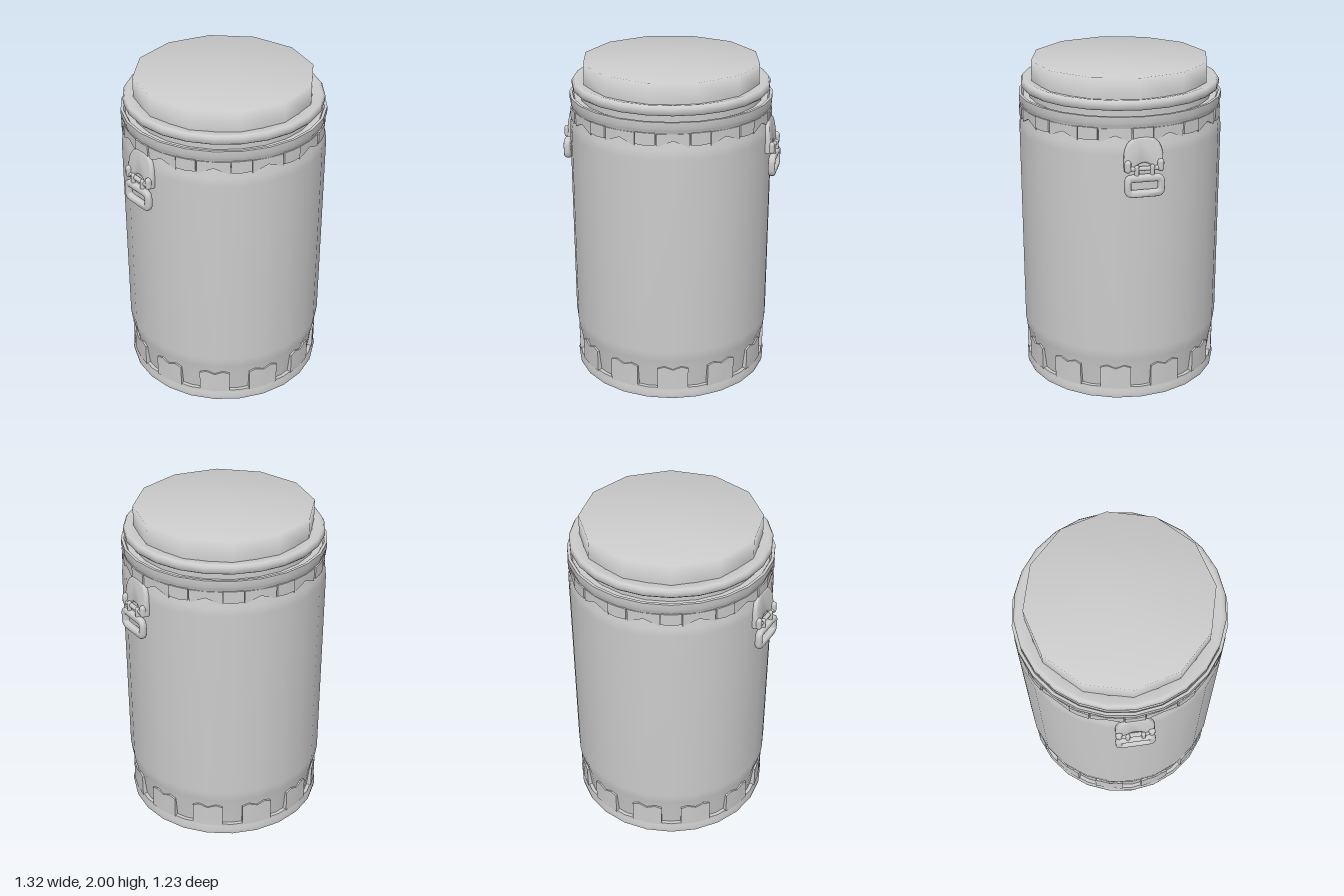
import * as THREE from 'three';
import { mergeGeometries, toCreasedNormals } from 'three/addons/utils/BufferGeometryUtils.js';

const grey = new THREE.MeshStandardMaterial({ color: 0xcccccc, side: THREE.DoubleSide });

function addMesh(parent, name, geometry, x = 0, y = 0, z = 0) {
  const mesh = new THREE.Mesh(geometry, grey);
  mesh.name = name;
  mesh.position.set(x, y, z);
  parent.add(mesh);
  return mesh;
}

// Profile points run upwards as [radius, height]
function lathe(profile, sides, crease) {
  const g = new THREE.LatheGeometry(profile.map(p => new THREE.Vector2(p[0], p[1])), sides);
  return crease ? toCreasedNormals(g, crease) : g;
}

// Ring of 12 thin plates bent round the drum; outlines are [degrees, height]
function plateRing(outlines, outer, inner, offset) {
  const plates = [];
  for (let i = 0; i < 12; i++) {
    for (const outline of outlines) {
      const shape = new THREE.Shape(outline.map(p => new THREE.Vector2(p[0], p[1])));
      const g = new THREE.ExtrudeGeometry(shape, { depth: 1, bevelEnabled: false });
      const pos = g.attributes.position;
      for (let k = 0; k < pos.count; k++) {
        const a = THREE.MathUtils.degToRad(pos.getX(k) + i * 30 + offset);
        const r = inner + (outer - inner) * pos.getZ(k);
        pos.setXYZ(k, Math.sin(a) * r, pos.getY(k), Math.cos(a) * r);
      }
      plates.push(g);
    }
  }
  return toCreasedNormals(mergeGeometries(plates), 0.6);
}

function roundedRect(path, w, h, r) {
  const x = w / 2, y = h / 2;
  path.moveTo(-x + r, -y);
  path.lineTo(x - r, -y);
  path.quadraticCurveTo(x, -y, x, -y + r);
  path.lineTo(x, y - r);
  path.quadraticCurveTo(x, y, x - r, y);
  path.lineTo(-x + r, y);
  path.quadraticCurveTo(-x, y, -x, y - r);
  path.lineTo(-x, -y + r);
  path.quadraticCurveTo(-x, -y, -x + r, -y);
  return path;
}

// Handle drawn facing +z, then turned onto the side of the drum
function createHandle(name, side) {
  const handle = new THREE.Group();
  handle.name = name;

  // Shield plate with an arched lower edge, leaning in at the top
  const s = new THREE.Shape();
  s.moveTo(-0.1, 0);
  s.lineTo(-0.1, 0.08);
  s.bezierCurveTo(-0.09, 0.15, -0.06, 0.17, 0, 0.17);
  s.bezierCurveTo(0.06, 0.17, 0.09, 0.15, 0.1, 0.08);
  s.lineTo(0.1, 0);
  s.lineTo(0.065, 0);
  s.quadraticCurveTo(0.05, 0.04, 0, 0.045);
  s.quadraticCurveTo(-0.05, 0.04, -0.065, 0);
  s.closePath();
  const shield = new THREE.ExtrudeGeometry(s, {
    depth: 0.02, bevelThickness: 0.012, bevelSize: 0.012, bevelSegments: 2, curveSegments: 6,
  });
  addMesh(handle, 'handlePlate', toCreasedNormals(shield, 0.8), 0, 1.5, 0.605).rotation.x = -0.13;
  const backing = new THREE.BoxGeometry(0.16, 0.13, 0.03);
  addMesh(handle, 'handleBacking', backing, 0, 1.55, 0.6).rotation.x = -0.1;

  // Hinge bar, end knobs and lugs
  const bar = new THREE.CylinderGeometry(0.014, 0.014, 0.19, 8).rotateZ(Math.PI / 2);
  addMesh(handle, 'hingeBar', bar, 0, 1.505, 0.635);
  for (const m of [-1, 1]) {
    const knob = new THREE.CapsuleGeometry(0.02, 0.035, 4, 8);
    addMesh(handle, 'hingeKnob', knob, m * 0.095, 1.52, 0.635);
    const lug = new THREE.CapsuleGeometry(0.014, 0.06, 3, 8);
    addMesh(handle, 'hingeLug', lug, m * 0.045, 1.485, 0.642);
  }

  // Hanging pull ring
  const ring = roundedRect(new THREE.Shape(), 0.21, 0.11, 0.035);
  ring.holes.push(roundedRect(new THREE.Path(), 0.18, 0.075, 0.02));
  const pull = new THREE.ExtrudeGeometry(ring, {
    depth: 0.012, bevelThickness: 0.014, bevelSize: 0.012, bevelSegments: 3, curveSegments: 4,
  });
  addMesh(handle, 'pullRing', toCreasedNormals(pull, 0.9), 0, 1.405, 0.635);
  const top = new THREE.CapsuleGeometry(0.02, 0.16, 4, 8).rotateZ(Math.PI / 2);
  addMesh(handle, 'pullRingTop', top, 0, 1.445, 0.64);

  handle.rotation.y = side * Math.PI / 2;
  return handle;
}

export function createModel() {
  const model = new THREE.Group();
  model.name = 'lidded drum';

  // Underside with a shallow foot disc
  addMesh(model, 'underside', lathe([[0, 0.012], [0.6, 0.012], [0.605, 0.03]], 24));
  addMesh(model, 'footDisc', lathe([[0, 0], [0.39, 0], [0.39, 0.014]], 24, 0.6));

  // Main shell, drawn in behind the base slots and at the shoulder
  addMesh(model, 'body', lathe([
    [0.575, 0.06], [0.597, 0.24], [0.606, 0.27], [0.615, 0.34], [0.615, 1.58],
    [0.609, 1.63], [0.592, 1.7], [0.585, 1.73],
  ], 24));

  // Base hoop and the posts between its slots
  addMesh(model, 'baseHoop', lathe([
    [0.605, 0.012], [0.609, 0.035], [0.601, 0.06], [0.6, 0.08], [0.574, 0.08],
  ], 24, 0.6));
  addMesh(model, 'basePosts', plateRing([
    [[-9, 0.075], [0, 0.075], [0, 0.21], [-5, 0.23], [-9, 0.215]],
    [[0, 0.075], [9, 0.075], [9, 0.215], [5, 0.23], [0, 0.21]],
  ], 0.602, 0.572, 15));

  // Upper collar with a scalloped lower edge and small tabs
  addMesh(model, 'collar', lathe([
    [0.588, 1.68], [0.6, 1.72], [0.608, 1.75], [0.612, 1.76], [0.612, 1.8], [0.595, 1.8], [0.585, 1.78], [0.53, 1.78],
  ], 24, 0.6));
  addMesh(model, 'collarScallops', plateRing([
    [[-9, 1.65], [0, 1.69], [0, 1.73], [-9, 1.73]],
    [[0, 1.69], [9, 1.65], [9, 1.73], [0, 1.73]],
  ], 0.604, 0.58, 15));
  addMesh(model, 'collarTabs', plateRing([
    [[-5.5, 1.665], [0, 1.66], [0, 1.735], [-5.5, 1.735]],
    [[0, 1.66], [5.5, 1.665], [5.5, 1.735], [0, 1.735]],
  ], 0.61, 0.58, 0));

  // Lid: neck, rounded flange and raised crown
  addMesh(model, 'lidNeck', lathe([[0.548, 1.77], [0.548, 1.84]], 24));
  addMesh(model, 'lidFlange', lathe([
    [0.54, 1.828], [0.585, 1.83], [0.596, 1.842], [0.596, 1.87], [0.587, 1.884], [0.57, 1.886], [0.52, 1.875],
  ], 24, 1));
  addMesh(model, 'lidCrown', lathe([[0.535, 1.86], [0.535, 2], [0, 2]], 12));

  model.add(createHandle('leftHandle', 1), createHandle('rightHandle', -1));
  return model;
}
